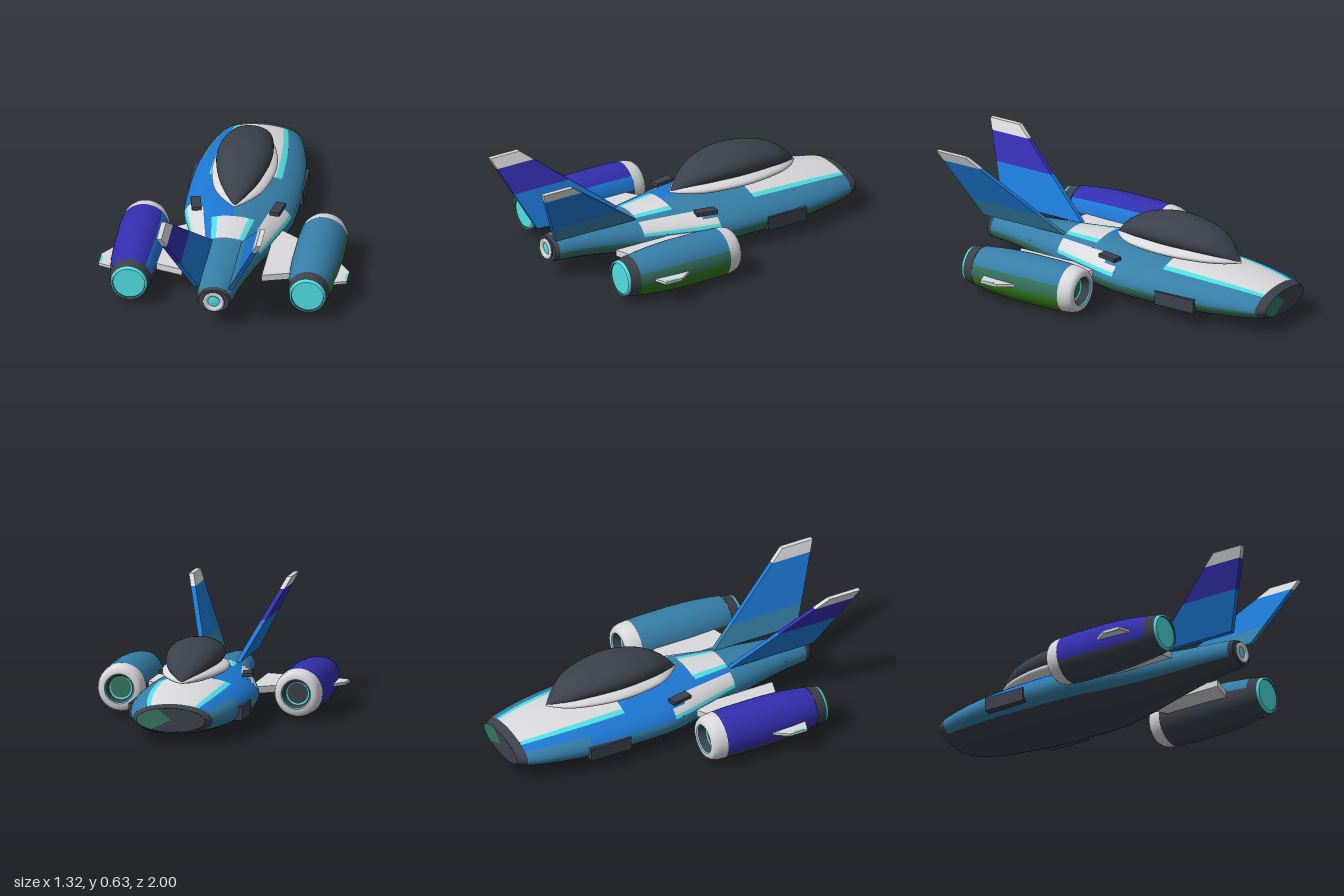
import * as THREE from 'three';

const mat = (name, color) => {
  const m = new THREE.MeshStandardMaterial({ color });
  m.name = name;
  return m;
};
const teal = mat('teal', 0x367fa8), blue = mat('blue', 0x1d78d4), indigo = mat('indigo', 0x342fb0);
const white = mat('white', 0xdadadd), cyan = mat('cyan', 0x50e0e2), dark = mat('charcoal', 0x3c414b);
const sea = mat('seaGreen', 0x35745f), green = mat('green', 0x337a1a);
const TAU = 2 * Math.PI;

// smooth interpolation of section rows [z, halfWidth, yBottom, yTop]
function sample(rows, z) {
  let i = 0;
  while (i < rows.length - 2 && z > rows[i + 1][0]) i++;
  const a = rows[i], b = rows[i + 1], h = b[0] - a[0], u = (z - a[0]) / h;
  const slope = (k, c) => {
    const p = rows[Math.max(k - 1, 0)], q = rows[Math.min(k + 1, rows.length - 1)];
    return (q[c] - p[c]) / (q[0] - p[0]);
  };
  return [1, 2, 3].map(c => (1 + 2 * u) * (1 - u) ** 2 * a[c] + u * (1 - u) ** 2 * h * slope(i, c)
    + u * u * (3 - 2 * u) * b[c] + u * u * (u - 1) * h * slope(i + 1, c));
}

// point on a lofted ellipse body; t is the angle from the top towards +x
function surface(rows, t, z) {
  const [w, yb, yt] = sample(rows, z);
  return new THREE.Vector3(w * Math.sin(t), (yb + yt) / 2 + (yt - yb) / 2 * Math.cos(t), z);
}

// panel of a lofted body between two angles and two stations
function panel(group, name, rows, material, t0, t1, z0, z1) {
  const nt = Math.max(2, Math.ceil((t1 - t0) / 0.13)), nz = Math.max(2, Math.ceil((z1 - z0) / 0.035));
  const pos = [], nor = [], idx = [], e = 1e-4;
  for (let j = 0; j <= nz; j++) for (let i = 0; i <= nt; i++) {
    const t = t0 + (t1 - t0) * i / nt, z = z0 + (z1 - z0) * j / nz;
    pos.push(...surface(rows, t, z).toArray());
    const dt = surface(rows, t + e, z).sub(surface(rows, t - e, z));
    const dz = surface(rows, t, z + e).sub(surface(rows, t, z - e));
    nor.push(...dz.cross(dt).normalize().toArray());
    if (i < nt && j < nz) {
      const a = j * (nt + 1) + i, d = a + nt + 1;
      idx.push(a, d, a + 1, a + 1, d, d + 1);
    }
  }
  const g = new THREE.BufferGeometry();
  g.setAttribute('position', new THREE.Float32BufferAttribute(pos, 3));
  g.setAttribute('normal', new THREE.Float32BufferAttribute(nor, 3));
  g.setIndex(idx);
  add(group, name, g, material);
}

function add(group, name, geometry, material) {
  const m = new THREE.Mesh(geometry, material);
  m.name = name;
  group.add(m);
  return m;
}

// flat sector closing a lofted body at station z; dir is -1 (nose) or 1 (tail)
function endCap(group, name, rows, material, t0, t1, z, dir) {
  const [, yb, yt] = sample(rows, z), shape = new THREE.Shape();
  shape.moveTo(0, (yb + yt) / 2);
  for (let i = 0; i <= 24; i++) {
    const p = surface(rows, t0 + (t1 - t0) * i / 24, z);
    shape.lineTo(dir * p.x, p.y);
  }
  const g = new THREE.ShapeGeometry(shape);
  if (dir < 0) g.rotateY(Math.PI);
  add(group, name, g.translate(0, 0, z), material);
}

// turned part along z; points are [radius, z], angles as above
function turned(group, name, pts, material, x, y, t0 = 0, t1 = TAU) {
  const g = new THREE.LatheGeometry(pts.map(p => new THREE.Vector2(...p)),
    Math.max(4, Math.round((t1 - t0) * 7)), Math.PI - t1, t1 - t0);
  g.rotateX(Math.PI / 2).translate(x, y, 0);
  add(group, name, g, material);
}

// flat plate from [x, z] corners, centred on height y
function plate(group, name, corners, y, thick, material) {
  const g = new THREE.ExtrudeGeometry(new THREE.Shape(corners.map(p => new THREE.Vector2(...p))),
    { depth: thick, bevelEnabled: false });
  g.rotateX(Math.PI / 2).translate(0, y + thick / 2, 0);
  add(group, name, g, material);
}

function box(group, name, size, p, material, ry = 0) {
  const m = add(group, name, new THREE.BoxGeometry(...size), material);
  m.position.set(...p);
  m.rotation.y = ry;
}

function buildHull(root) {
  const hull = new THREE.Group();
  hull.name = 'hull';
  root.add(hull);
  const rows = [[-1, .185, .067, .195], [-.95, .215, .05, .21], [-.8, .258, .03, .235], [-.6, .29, .014, .254],
    [-.35, .3, .004, .265], [-.1, .29, .001, .268], [.1, .24, .01, .265], [.3, .182, .032, .255],
    [.5, .135, .06, .245], [.65, .107, .078, .238], [.78, .09, .086, .228], [.805, .082, .09, .222]];
  const P = (name, m, t0, t1, z0, z1) => panel(hull, name, rows, m, t0, t1, z0, z1);
  P('noseRing', dark, 0, TAU, -1, -.95);
  endCap(hull, 'noseFaceLeft', rows, sea, .4, 2.5, -1, -1);
  endCap(hull, 'noseFaceRight', rows, dark, 2.5, TAU + .4, -1, -1);
  // nose deck
  P('noseDeck', white, -.57, .57, -.95, -.36);
  P('noseStripeRight', cyan, -.7, -.57, -.95, -.36);
  P('noseStripeLeft', cyan, .57, .7, -.95, -.36);
  // mid deck
  P('midDeckRight', blue, -.7, 0, -.36, .1);
  P('midDeckLeft', teal, 0, .7, -.36, .1);
  // rear deck
  P('rearDeck', white, -.35, .35, .1, .31);
  for (const s of [-1, 1]) {
    const side = (name, m, a, b, z0, z1) => P(name, m, s < 0 ? -b : a, s < 0 ? -a : b, z0, z1);
    const upper = s < 0 ? blue : teal;
    side('rearStripe', cyan, .35, .5, .1, .31);
    side('rearDeckEdge', upper, .5, .7, .1, .31);
    side('shoulderFront', upper, .7, 1, -.95, -.6);
    side('shoulderFrontLow', teal, 1, 1.36, -.95, -.6);
    side('shoulder', upper, .7, 1.36, -.6, -.1);
    side('shoulderRear', upper, .7, 1, -.1, -.02);
    side('shoulderPanelFront', white, 1, 1.22, -.1, -.02);
    side('shoulderPanel', white, .7, 1.22, -.02, .31);
    side('shoulderPanelEdge', cyan, 1.22, 1.36, -.1, .31);
    side('tailTop', teal, 0, 1.36, .31, .78);
    side('flankUpper', teal, 1.36, 1.6, -.95, .78);
    side('flank', s < 0 ? teal : sea, 1.6, 2.2, -.95, .78);
    side('belly', dark, 2.2, Math.PI, -.95, .78);
    box(hull, 'sidePod', [.04, .075, .24], [s * .285, .117, -.5], dark);
    box(hull, 'shoulderVent', [.052, .02, .115], [s * .217, .24, -.045], dark, -s * .2);
  }
  // tail nozzle
  P('tailRing', dark, 0, TAU, .78, .805);
  endCap(hull, 'tailFace', rows, dark, 0, TAU, .805, 1);
  turned(hull, 'tailCollar', [[.056, .8], [.056, .815]], dark, 0, .156);
  turned(hull, 'tailNozzle', [[.056, .815], [.054, .82], [.036, .82], [.03, .808]], white, 0, .156);
  turned(hull, 'tailGlow', [[.033, .8], [.033, .809], [0, .809]], cyan, 0, .156);
}

function buildCanopy(root) {
  const canopy = new THREE.Group();
  canopy.name = 'canopy';
  root.add(canopy);
  panel(canopy, 'canopyFrame', [[-.73, .002, .283, .287], [-.66, .08, .275, .325], [-.55, .135, .27, .345],
    [-.34, .17, .268, .355], [-.12, .135, .268, .345], [-.02, .075, .275, .325], [.045, .002, .285, .29]],
    white, 0, TAU, -.73, .045);
  panel(canopy, 'canopyGlass', [[-.725, .002, .283, .29], [-.66, .062, .29, .365], [-.56, .115, .3, .43],
    [-.34, .147, .3, .47], [-.15, .118, .3, .442], [-.03, .06, .29, .375], [.04, .002, .285, .292]],
    dark, 0, TAU, -.725, .04);
}

function buildEngine(root, s) {
  const engine = new THREE.Group();
  engine.name = s > 0 ? 'leftEngine' : 'rightEngine';
  root.add(engine);
  const x = s * .475, y = .135;
  const T = (name, pts, m, t0, t1) => turned(engine, name, pts, m, x, y, t0, t1);
  T('intakeFan', [[0, .01], [.055, .01]], s > 0 ? sea : dark);
  T('intakeGlow', [[.055, .01], [.063, .005]], cyan);
  T('intakeThroat', [[.063, .005], [.068, -.015], [.076, -.035]], dark);
  T('intakeTrim', [[.076, -.035], [.08, -.04]], cyan);
  T('intakeLip', [[.08, -.04], [.103, -.04], [.115, -.025], [.123, 0], [.127, .04]], white);
  const sectors = s > 0
    ? [[teal, -1.4, 1.15], [sea, 1.15, 1.7], [green, 1.7, 2.8], [dark, 2.8, TAU - 1.4]]
    : [[indigo, -2, .8], [blue, .8, 1.4], [dark, 1.4, 2.2], [sea, 2.2, 2.9], [dark, 2.9, TAU - 2]];
  const body = [[.127, .04], [.131, .12], [.131, .32], [.126, .43], [.117, .52], [.108, .585]];
  for (const [m, a, b] of sectors) T('engineBody', body, m, a, b);
  T('exhaustRing', [[.11, .585], [.106, .6], [.097, .642]], dark);
  T('exhaustTrim', [[.097, .642], [.094, .655], [.086, .655]], cyan);
  T('exhaustGroove', [[.086, .655], [.084, .648]], dark);
  T('exhaustGlow', [[.084, .648], [0, .648]], cyan);
  // pylon wing and outer winglet
  const mirror = pts => pts.map(([px, pz]) => [s * px, pz]);
  plate(engine, 'pylon', mirror([[.215, .01], [.25, .03], [.36, .11], [.36, .465], [.212, .51]]), .141, .036, white);
  plate(engine, 'winglet', mirror([[.59, .28], [.66, .38], [.66, .48], [.59, .505]]), .136, .015, white);
  plate(engine, 'wingletMark', mirror([[.646, .405], [.658, .405], [.658, .465], [.646, .465]]), .136, .017, cyan);
}

function buildFin(root, s) {
  const fin = new THREE.Group();
  fin.name = s > 0 ? 'leftFin' : 'rightFin';
  root.add(fin);
  // leading and trailing edge z at height y
  const lead = y => .33 + (y - .25) * 1.3, trail = y => .82 + (y - .25) * .48;
  const bands = s > 0 ? [[.24, .34, teal], [.34, .57, blue], [.57, .626, white]]
    : [[.24, .43, blue], [.43, .57, indigo], [.57, .626, white]];
  for (const [y0, y1, m] of bands) {
    const pts = [[lead(y0), y0], [lead(y1), y1], [trail(y1), y1], [trail(y0), y0]];
    const g = new THREE.ExtrudeGeometry(new THREE.Shape(pts.map(p => new THREE.Vector2(...p))),
      { depth: .026, bevelEnabled: false });
    g.rotateY(-Math.PI / 2).translate(.013, 0, 0);
    // lean outwards
    const p = g.attributes.position;
    for (let i = 0; i < p.count; i++) p.setX(i, p.getX(i) + s * (.095 + (p.getY(i) - .25) * .45));
    g.computeVertexNormals();
    add(fin, m === white ? 'finTip' : 'finPanel', g, m);
  }
}

export function createModel() {
  const root = new THREE.Group();
  root.name = 'spacecraft';
  buildHull(root);
  buildCanopy(root);
  for (const s of [-1, 1]) {
    buildEngine(root, s);
    buildFin(root, s);
  }
  return root;
}
